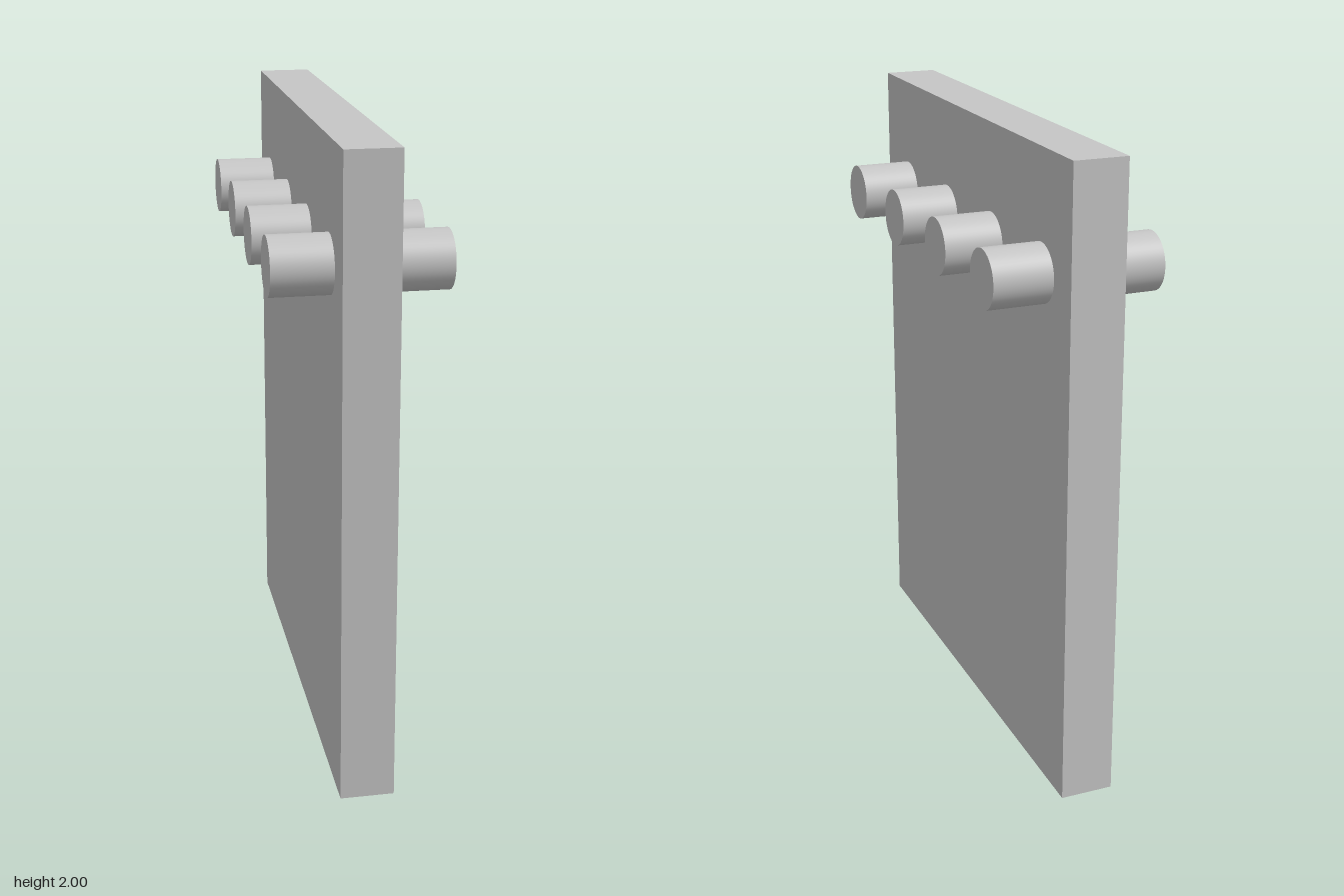
import * as THREE from 'three';

export function createModel() {
  const group = new THREE.Group();
  const grey = new THREE.MeshStandardMaterial({ color: 0xc6c6c6 });
  grey.name = 'light grey';

  // Upright slab
  const panel = new THREE.Mesh(new THREE.BoxGeometry(0.167, 2, 1.55), grey);
  panel.name = 'panel';
  panel.position.y = 1;
  group.add(panel);

  // Row of round pegs, one stub on each side of the slab
  const panelHalf = 0.0835, pegEnd = 0.267;
  const length = pegEnd - panelHalf;
  const pegGeometry = new THREE.CylinderGeometry(0.09, 0.09, length, 48).rotateZ(-Math.PI / 2);
  for (const side of [1, -1]) {
    for (let i = 0; i < 4; i++) {
      const peg = new THREE.Mesh(pegGeometry, grey);
      peg.name = `${side > 0 ? 'left' : 'right'}Peg${i + 1}`;
      peg.position.set(side * (panelHalf + length / 2), 1.637, -0.57 + i * 0.38);
      group.add(peg);
    }
  }
  return group;
}
